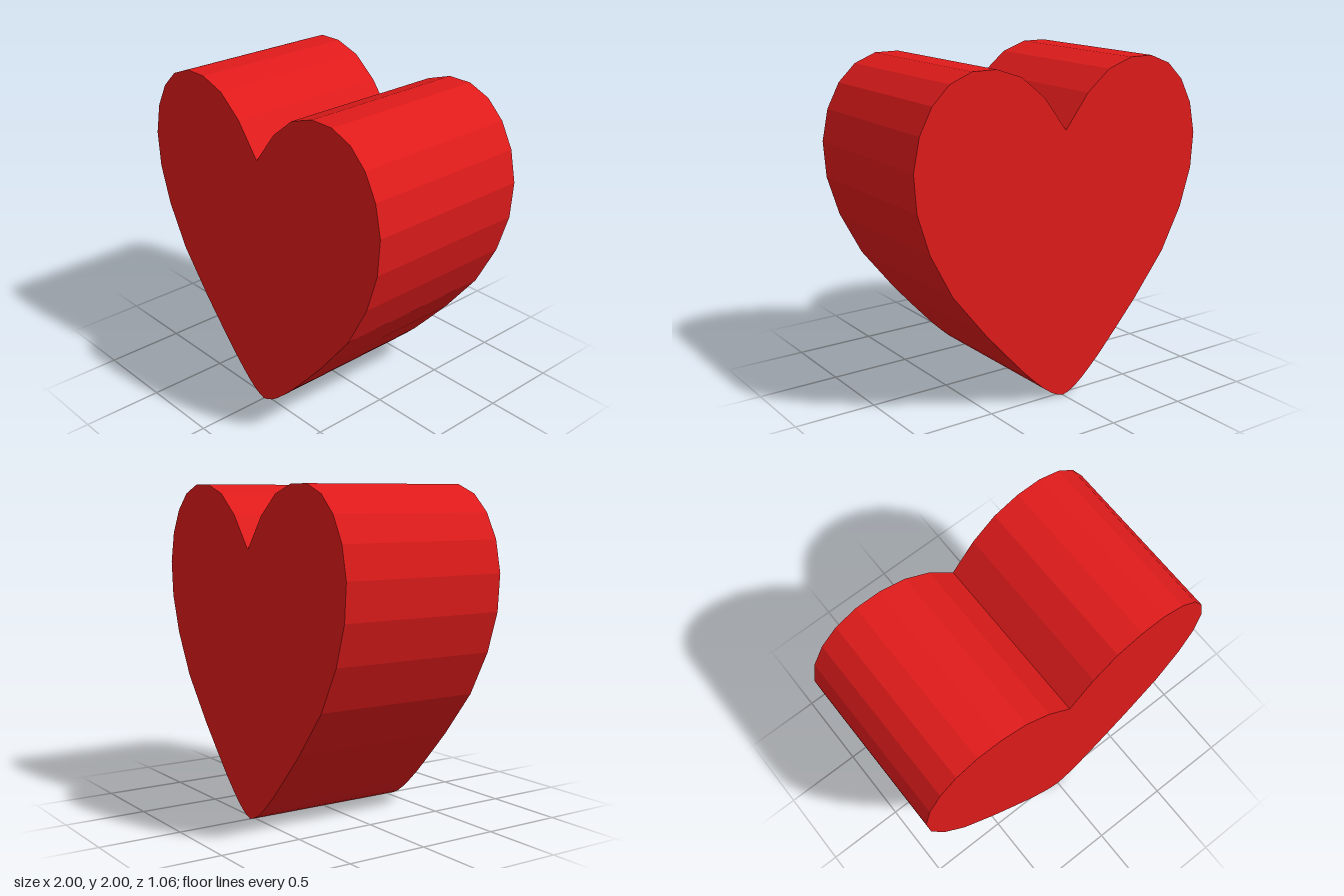
import * as THREE from 'three';

export function createModel() {
  const group = new THREE.Group();
  group.name = 'heartModel';

  // Right half of the outline, from the notch round to the bottom tip
  const half = [
    [0, 1.62], [0.155, 1.82], [0.31, 1.945], [0.475, 2], [0.63, 2],
    [0.77, 1.945], [0.88, 1.84], [0.96, 1.69], [1, 1.5], [0.985, 1.28],
    [0.91, 1.04], [0.77, 0.775], [0.55, 0.5], [0.41, 0.345], [0.28, 0.205],
    [0.2, 0.128], [0.14, 0.075], [0.085, 0.035], [0.04, 0.012], [0, 0],
  ].map(([x, y]) => new THREE.Vector2(x, y));

  // Mirror the half, leaving out the shared notch and tip
  const mirrored = half.slice(1, -1).reverse().map((p) => new THREE.Vector2(-p.x, p.y));

  // Thick heart with flat faces and a faceted rim
  const depth = 1.06;
  const geometry = new THREE.ExtrudeGeometry(new THREE.Shape([...half, ...mirrored]), {
    depth, bevelEnabled: false,
  });
  geometry.translate(0, 0, -depth / 2);

  const heart = new THREE.Mesh(
    geometry,
    new THREE.MeshStandardMaterial({ color: 0xe01b1b, flatShading: true }),
  );
  heart.name = 'heart';
  group.add(heart);
  return group;
}
